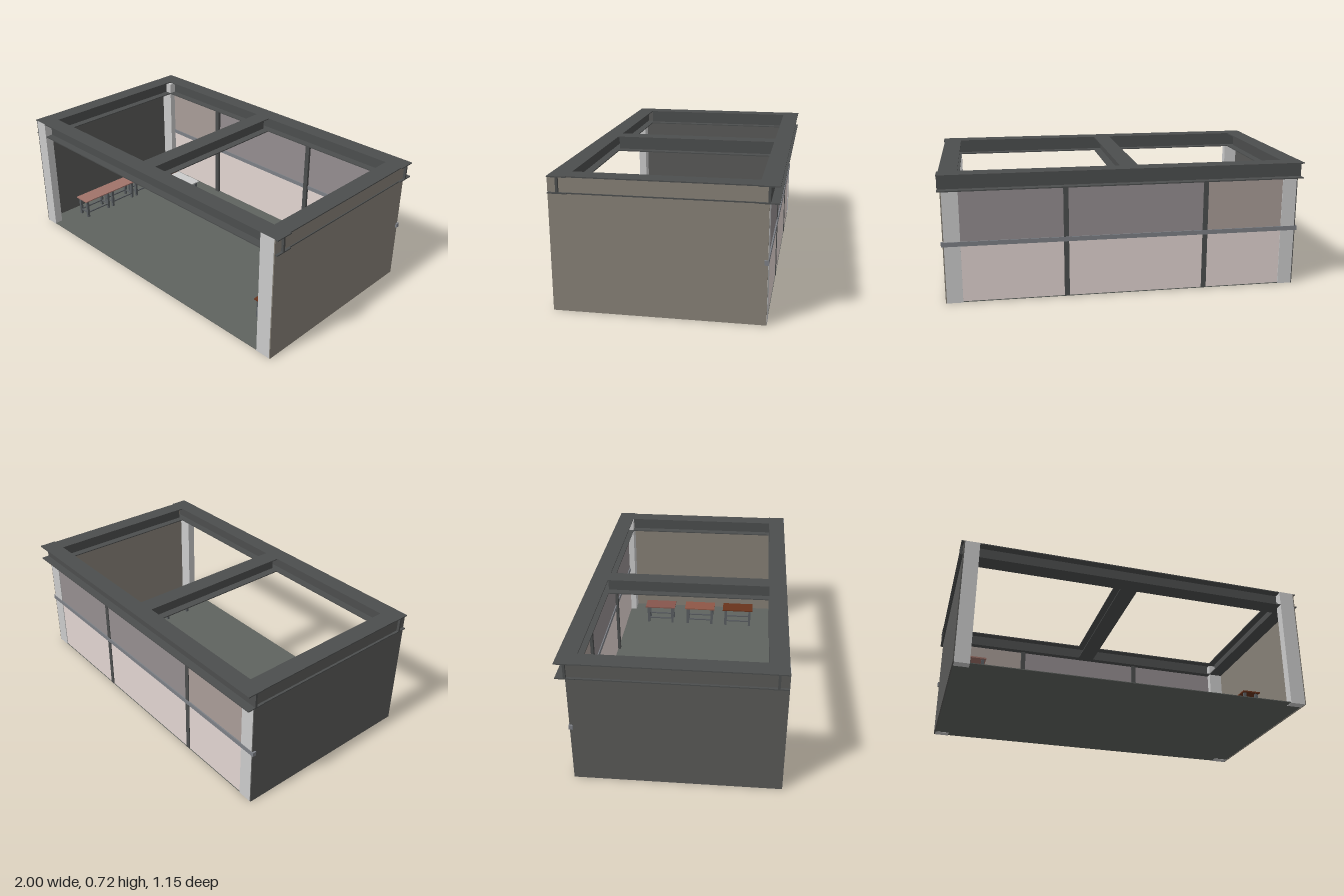
import * as THREE from 'three';

const mat = (color) => new THREE.MeshStandardMaterial({ color });
const GREY = mat(0xcccccc);
const STEEL = mat(0x4c4e4e);
const FLOOR = mat(0x5f635f);
const RAIL = mat(0x7d8086);
const LEG = mat(0x5a5e62);

// Box given by its extents along each axis
function box(parent, name, material, [x0, x1], [y0, y1], [z0, z1]) {
  const mesh = new THREE.Mesh(new THREE.BoxGeometry(x1 - x0, y1 - y0, z1 - z0), material);
  mesh.position.set((x0 + x1) / 2, (y0 + y1) / 2, (z0 + z1) / 2);
  mesh.name = name;
  parent.add(mesh);
  return mesh;
}

// I-section extruded along z, centred on the origin
function iBeam(name, length) {
  const w = 0.05, h = 0.045, t = 0.006, web = 0.006;
  const half = [[-w, -h], [w, -h], [w, -h + t], [web, -h + t], [web, h - t], [w, h - t]];
  const points = [...half, ...[[w, h], [-w, h], [-w, h - t], [-web, h - t], [-web, -h + t], [-w, -h + t]]];
  const shape = new THREE.Shape(points.map(([x, y]) => new THREE.Vector2(x, y)));
  const geometry = new THREE.ExtrudeGeometry(shape, { depth: length, bevelEnabled: false });
  geometry.translate(0, 0, -length / 2);
  const mesh = new THREE.Mesh(geometry, STEEL);
  mesh.name = name;
  return mesh;
}

// Table: thin top, four legs and low stretchers; the long side runs along x
function table(name, color, x, z, turned) {
  const g = new THREE.Group();
  g.name = name;
  const L = 0.105, W = 0.0525, lx = 0.085, lz = 0.036, r = 0.008;
  box(g, 'tableTop', mat(color), [-L, L], [0.124, 0.131], [-W, W]);
  for (const sx of [-1, 1]) {
    for (const sz of [-1, 1]) {
      box(g, 'tableLeg', LEG, [sx * lx - r, sx * lx + r], [0.005, 0.124], [sz * lz - r, sz * lz + r]);
    }
    box(g, 'endStretcher', LEG, [sx * lx - 0.004, sx * lx + 0.004], [0.034, 0.042], [-lz, lz]);
  }
  for (const sz of [-1, 1]) {
    box(g, 'sideStretcher', LEG, [-lx, lx], [0.034, 0.042], [sz * lz - 0.004, sz * lz + 0.004]);
  }
  g.position.set(x, 0, z);
  if (turned) g.rotation.y = Math.PI / 2;
  return g;
}

export function createModel() {
  const model = new THREE.Group();
  model.name = 'openFrontRoom';

  // Floor and the two solid side walls
  box(model, 'floor', FLOOR, [-0.983, 0.983], [0.002, 0.006], [-0.524, 0.574]);
  box(model, 'leftWall', mat(0x878177), [0.979, 0.986], [0, 0.719], [-0.525, 0.575]);
  box(model, 'rightWall', mat(0x5a5a58), [-0.986, -0.979], [0, 0.719], [-0.525, 0.575]);

  // Corner columns
  for (const [x0, x1] of [[-0.98, -0.9], [0.893, 0.98]]) {
    box(model, 'frontColumn', GREY, [x0, x1], [0, 0.7195], [0.527, 0.5755]);
    box(model, 'backColumn', GREY, [x0, x1], [0, 0.7], [-0.526, -0.476]);
  }

  // Roof frame of I-beams
  const beamY = 0.6755;
  for (const [name, z] of [['backBeam', -0.525], ['frontBeam', 0.523]]) {
    const beam = iBeam(name, 2);
    beam.rotation.y = Math.PI / 2;
    beam.position.set(0, beamY, z);
    model.add(beam);
  }
  for (const [name, x] of [['rightBeam', -0.948], ['centreBeam', -0.027], ['leftBeam', 0.942]]) {
    const beam = iBeam(name, 0.96);
    beam.position.set(x, beamY, -0.001);
    model.add(beam);
  }

  // Back window: three bays of lower and upper panes
  const LOWER = mat(0xe2d5d1);
  const bays = [[-0.9, -0.455, 0xa99d98], [-0.455, 0.325, 0x958e90], [0.325, 0.893, 0x958e90]];
  for (const [x0, x1, upper] of bays) {
    box(model, 'lowerPane', LOWER, [x0, x1], [0.006, 0.33], [-0.522, -0.514]);
    box(model, 'upperPane', mat(upper), [x0, x1], [0.33, 0.632], [-0.522, -0.514]);
  }
  for (const x of [-0.455, 0.325]) {
    box(model, 'mullion', STEEL, [x - 0.014, x + 0.014], [0.004, 0.632], [-0.526, -0.498]);
  }
  box(model, 'windowRail', RAIL, [-0.995, 0.995], [0.32, 0.345], [-0.529, -0.508]);

  // Row of tables along the right wall, turning the corner at the back
  for (let i = 0; i < 3; i++) {
    model.add(table('rowTable', 0xa1736a, -0.8525, -0.135 + i * 0.21, true));
  }
  model.add(table('cornerTable', 0x925844, -0.8, -0.295, false));
  model.add(table('whiteTable', 0xcccccc, -0.59, -0.295, false));

  // Separate tables by the left wall
  for (const [z, color] of [[-0.272, 0x87564d], [0.01, 0x8e5746], [0.28, 0x69331c]]) {
    model.add(table('singleTable', color, 0.753, z, true));
  }
  return model;
}
